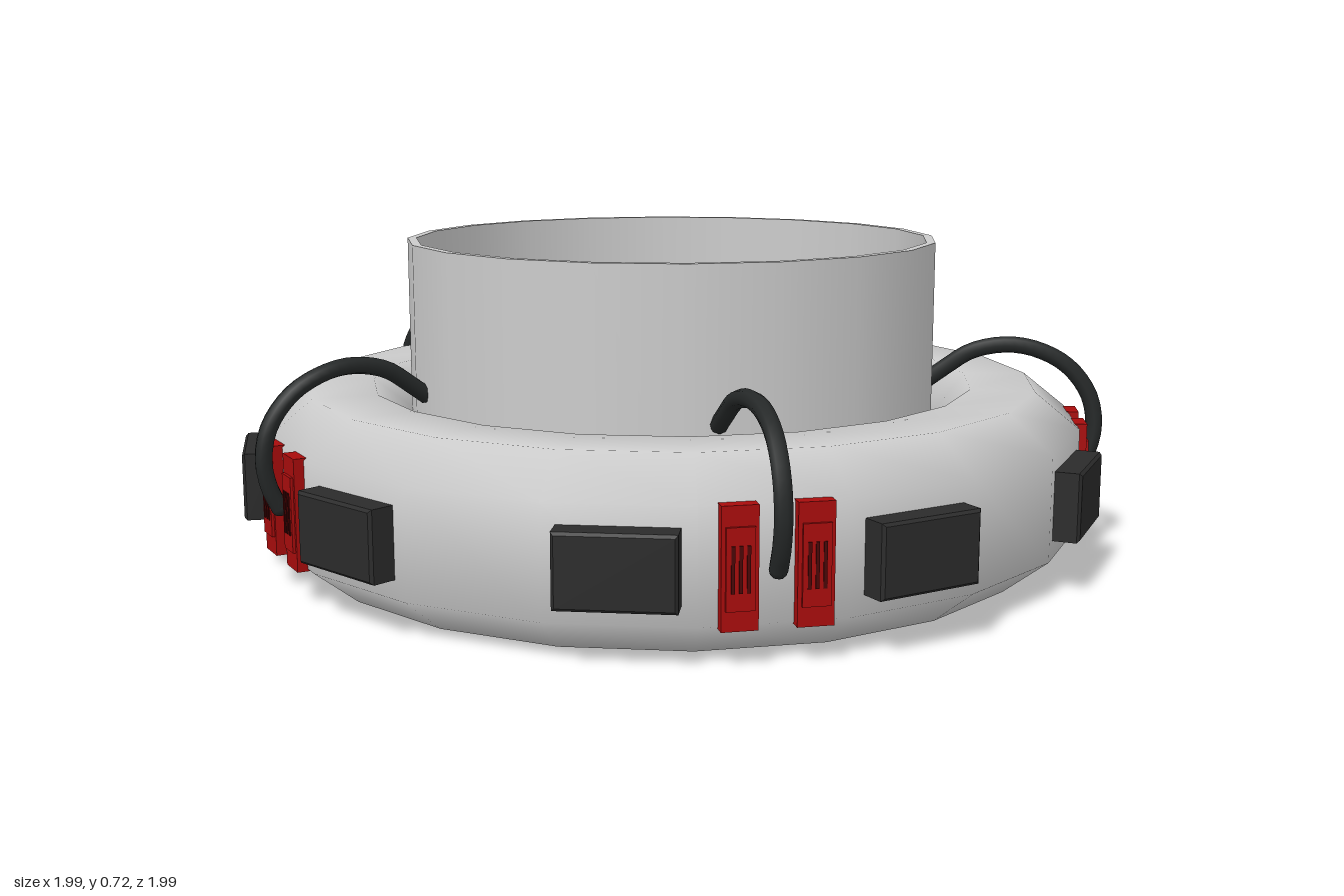
import * as THREE from 'three';

const SEGMENTS = 20;
const material = (color) => new THREE.MeshStandardMaterial({ color });
const grey = material(0xcccccc);
const black = material(0x2b2b2b);
const cableBlack = material(0x252828);
const red = material(0xa80c0c);
const darkRed = material(0x4a0606);

function addMesh(parent, name, geometry, mat) {
  const mesh = new THREE.Mesh(geometry, mat);
  mesh.name = name;
  parent.add(mesh);
  return mesh;
}

function addBox(parent, name, size, position, mat) {
  const mesh = addMesh(parent, name, new THREE.BoxGeometry(...size), mat);
  mesh.position.set(...position);
  return mesh;
}

// Revolve a closed [radius, y] profile, with vertices on the x and z axes
function revolve(points) {
  return new THREE.LatheGeometry(points.map(([r, y]) => new THREE.Vector2(r, y)), SEGMENTS);
}

// Group turned so that its local +x points outward at the given angle
function spoke(parent, name, degrees) {
  const group = new THREE.Group();
  group.name = name;
  group.rotation.y = -THREE.MathUtils.degToRad(degrees);
  parent.add(group);
  return group;
}

// Box whose outward (+x) face has a small chamfer all round
function chamferedBlock(depth, height, width, bevel) {
  const geometry = new THREE.BoxGeometry(depth, height, width, 2, 1, 1).toNonIndexed();
  const p = geometry.attributes.position;
  for (let i = 0; i < p.count; i++) {
    const x = p.getX(i);
    if (Math.abs(x) < 1e-6) p.setX(i, depth / 2 - bevel);
    else if (x > 0) {
      p.setY(i, p.getY(i) - Math.sign(p.getY(i)) * bevel);
      p.setZ(i, p.getZ(i) - Math.sign(p.getZ(i)) * bevel);
    }
  }
  geometry.computeVertexNormals();
  return geometry;
}

export function createModel() {
  const model = new THREE.Group();
  const device = new THREE.Group();
  device.name = 'ringDevice';
  device.position.set(-0.004, 0, -0.009);
  model.add(device);

  // Thick ring with chamfered corners
  addMesh(device, 'baseRing', revolve([
    [0.6, 0.085], [0.7, 0.005], [0.845, 0.005], [0.945, 0.085],
    [0.945, 0.315], [0.845, 0.395], [0.7, 0.395], [0.6, 0.315], [0.6, 0.085],
  ]), grey);

  // Thin-walled collar: separate surfaces keep the rims crisp
  const collar = new THREE.Group();
  collar.name = 'collar';
  device.add(collar);
  addMesh(collar, 'collarOuterWall', revolve([[0.613, 0.2], [0.613, 0.725]]), grey);
  addMesh(collar, 'collarTopRim', revolve([[0.613, 0.725], [0.593, 0.725]]), grey);
  addMesh(collar, 'collarInnerWall', revolve([[0.593, 0.725], [0.593, 0.2]]), grey);
  addMesh(collar, 'collarBottomRim', revolve([[0.593, 0.2], [0.613, 0.2]]), grey);

  // Ten black blocks round the ring
  for (let i = 0; i < 10; i++) {
    const group = spoke(device, 'blackBlock', 9 + 36 * i);
    const block = addMesh(group, 'block', chamferedBlock(0.07, 0.15, 0.235, 0.006), black);
    block.position.set(0.955, 0.2, 0);
  }

  // Five stations: a pair of red vented plates and a looping cable
  const cableSkew = [-0.015, 0.03, 0.045, -0.022, -0.045];
  const cablePath = [
    [0.6, 0.395], [0.64, 0.425], [0.7, 0.465], [0.78, 0.482], [0.85, 0.472],
    [0.92, 0.435], [0.97, 0.37], [0.985, 0.3], [0.975, 0.24], [0.955, 0.195],
  ];
  cableSkew.forEach((skew, k) => {
    const station = spoke(device, 'station', -9 + 72 * k);
    for (const side of [-1, 1]) {
      const z = side * 0.073;
      addBox(station, 'redPlate', [0.03, 0.24, 0.072], [0.94, 0.2, z], red);
      addBox(station, 'redPlateRaised', [0.03, 0.16, 0.056], [0.946, 0.2, z], red);
      for (const slot of [-1, 0, 1]) {
        addBox(station, 'ventSlot', [0.004, 0.09, 0.007], [0.961, 0.2, z + slot * 0.015], darkRed);
      }
    }
    const points = cablePath.map(([r, y]) => {
      const t = THREE.MathUtils.clamp((0.88 - r) / 0.28, 0, 1);
      return new THREE.Vector3(r, y, skew * t);
    });
    const curve = new THREE.CatmullRomCurve3(points);
    addMesh(station, 'cable', new THREE.TubeGeometry(curve, 28, 0.019, 8), cableBlack);
    // Rounded tip where the cable meets the ring
    const tip = addMesh(station, 'cableTip', new THREE.SphereGeometry(0.019, 8, 6), cableBlack);
    tip.position.copy(points[points.length - 1]);
  });

  return model;
}
